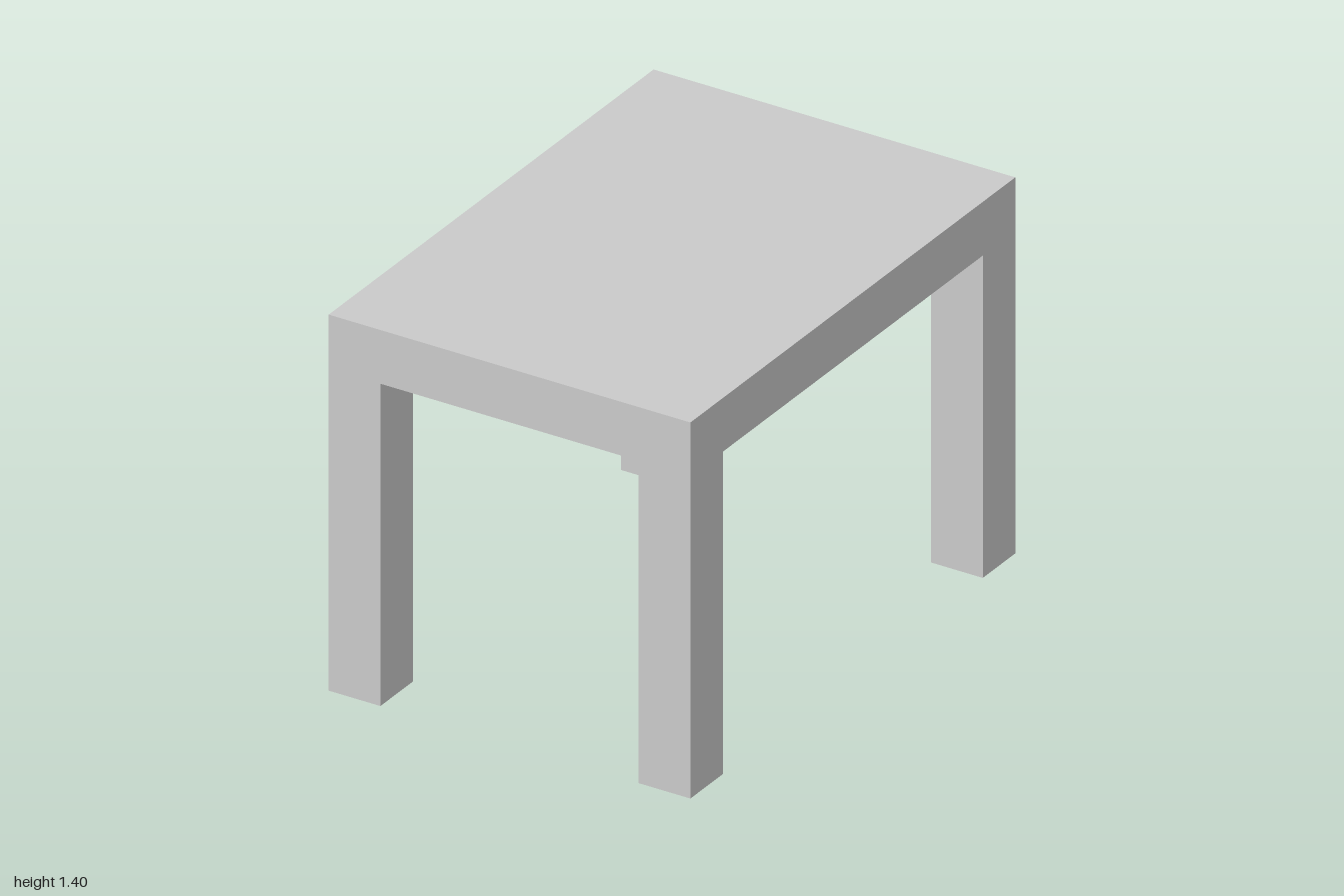
import * as THREE from 'three';

const WIDTH = 1.4, DEPTH = 2, HEIGHT = 1.4, THICK = 0.2;

export function createModel() {
  const table = new THREE.Group();
  table.name = 'table';
  const material = new THREE.MeshStandardMaterial({ color: 0xcccccc, flatShading: true });

  const addBox = (name, w, h, d, x, y, z) => {
    const mesh = new THREE.Mesh(new THREE.BoxGeometry(w, h, d), material);
    mesh.name = name;
    mesh.position.set(x, y, z);
    table.add(mesh);
  };

  // Solid slab top
  addBox('tableTop', WIDTH, THICK, DEPTH, 0, HEIGHT - THICK / 2, 0);

  // Square legs flush with the corners of the top
  const legHeight = HEIGHT - THICK;
  for (const [side, sx] of [['Left', 1], ['Right', -1]]) {
    for (const [end, sz] of [['front', 1], ['back', -1]]) {
      addBox(`${end}${side}Leg`, THICK, legHeight, THICK,
        sx * (WIDTH - THICK) / 2, legHeight / 2, sz * (DEPTH - THICK) / 2);
    }
  }
  return table;
}
